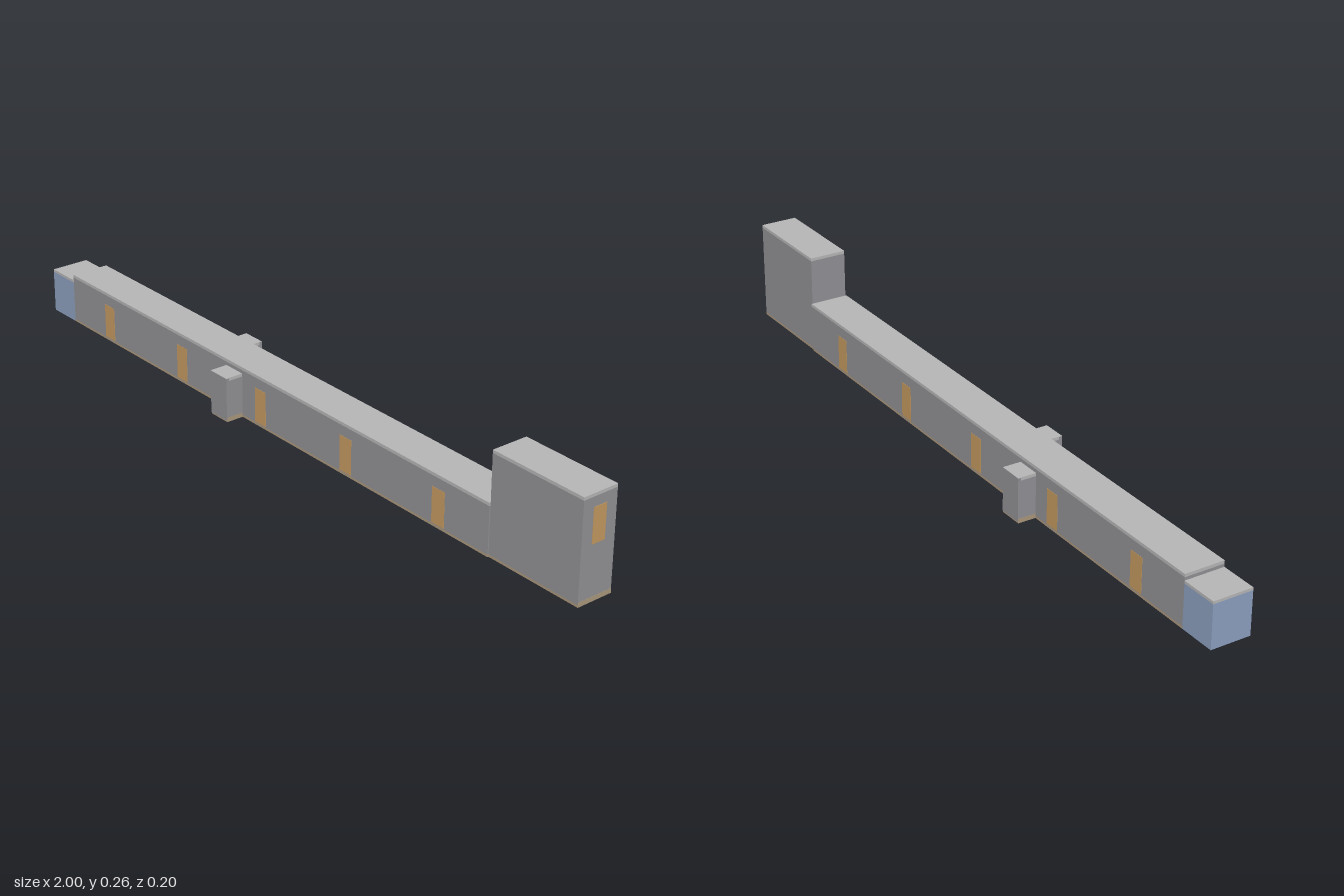
import * as THREE from 'three';

const mat = (name, color) => {
  const m = new THREE.MeshStandardMaterial({ color });
  m.name = name;
  return m;
};

export function createModel() {
  const group = new THREE.Group();
  const wall = mat('wall grey', 0x8f8e92);
  const roof = mat('roof grey', 0xb4b4b4);
  const wood = mat('door tan', 0xc0975f);
  const glass = mat('glass blue', 0x8a9dbc);
  const base = mat('plinth tan', 0xa8957a);

  // Axis-aligned box given by its limits
  const box = (name, m, x0, x1, y0, y1, z0, z1) => {
    const mesh = new THREE.Mesh(new THREE.BoxGeometry(x1 - x0, y1 - y0, z1 - z0), m);
    mesh.position.set((x0 + x1) / 2, (y0 + y1) / 2, (z0 + z1) / 2);
    mesh.name = name;
    group.add(mesh);
  };

  // Walled block on a thin plinth with a roof slab
  const block = (name, x0, x1, h, z) => {
    box(name + 'Plinth', base, x0, x1, 0, 0.006, -z, z);
    box(name + 'Walls', wall, x0, x1, 0.006, h - 0.008, -z, z);
    box(name + 'Roof', roof, x0, x1, h - 0.008, h, -z, z);
  };
  block('hall', -0.902, 0.725, 0.135, 0.0525);
  block('tower', 0.725, 0.999, 0.264, 0.0495);

  // Glazed end
  box('glassEnd', glass, -1, -0.902, 0, 0.112, -0.0525, 0.0525);
  box('glassEndRoof', roof, -1, -0.902, 0.112, 0.119, -0.0525, 0.0525);

  // Tower end: plinth band and window
  box('towerEndBand', base, 0.998, 0.9995, 0, 0.012, -0.0495, 0.0495);
  box('towerWindow', wood, 0.998, 1, 0.142, 0.231, -0.019, 0.019);

  // Doors along both long sides
  for (const s of [-1, 1]) {
    for (let i = 0; i < 5; i++) {
      const x = -0.733 + i * 0.3235;
      const a = s * 0.052, b = s * 0.0532;
      box('door', wood, x - 0.021, x + 0.021, 0.008, 0.1, Math.min(a, b), Math.max(a, b));
    }
  }

  // Side porches, one on each long side
  for (const [s, x] of [[1, -0.19], [-1, -0.31]]) {
    const part = (name, m, w, y0, y1, a, b) =>
      box(name, m, x - w, x + w, y0, y1, Math.min(s * a, s * b), Math.max(s * a, s * b));
    part('porchPlinth', base, 0.032, 0, 0.012, 0.0525, 0.1);
    part('porchWalls', wall, 0.032, 0.012, 0.11, 0.0525, 0.101);
    part('porchFront', wall, 0.032, 0.004, 0.117, 0.1, 0.101);
    part('porchParapet', wall, 0.032, 0.11, 0.117, 0.093, 0.1);
    part('porchRoof', roof, 0.032, 0.11, 0.117, 0.0525, 0.093);
    part('porchRoofTop', roof, 0.032, 0.117, 0.118, 0.0525, 0.101);
  }
  return group;
}
